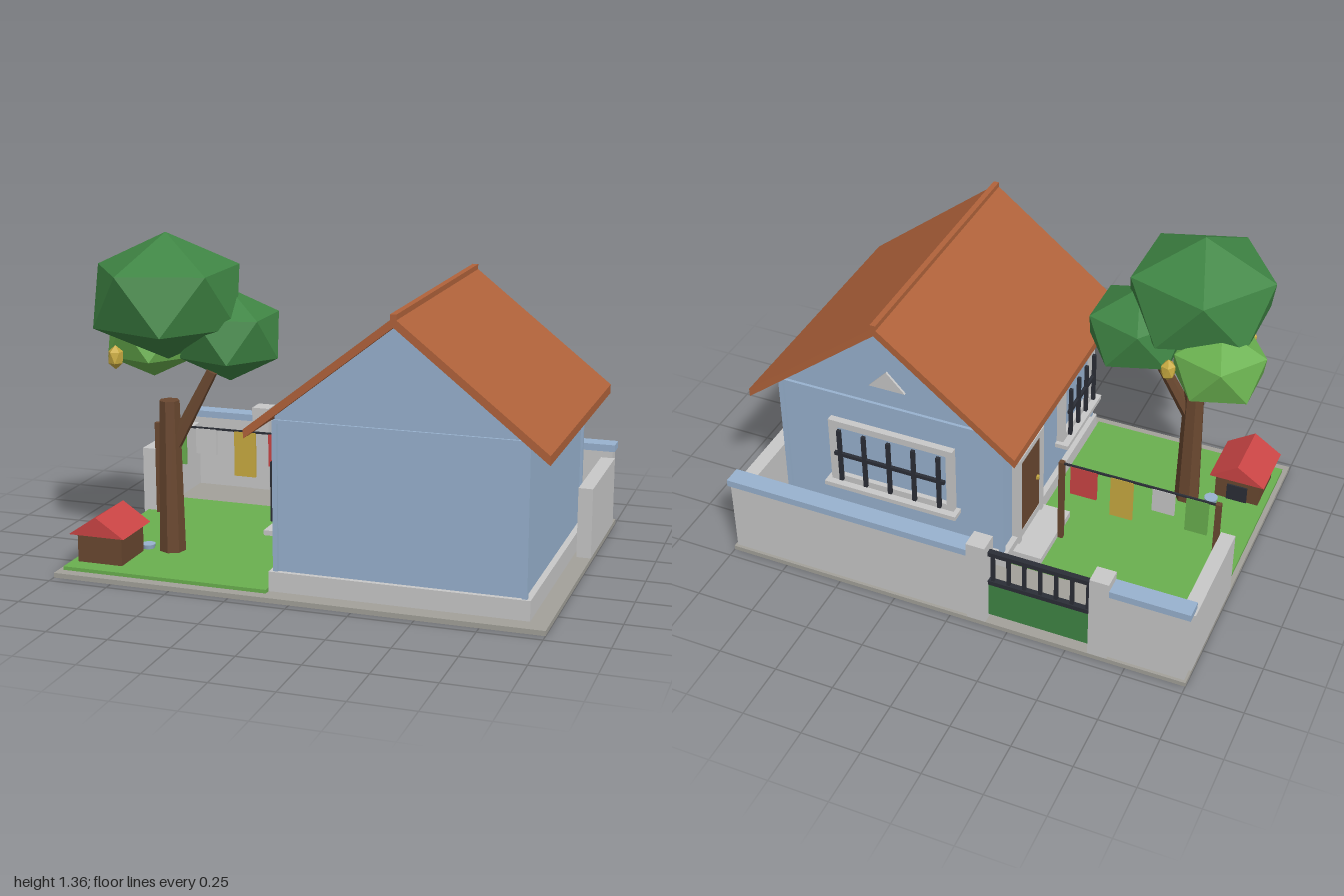
import * as THREE from 'three';

const mat = (name, color) => {
  const m = new THREE.MeshStandardMaterial({ color });
  m.name = name;
  return m;
};

export function createModel() {
  const concrete = mat('light concrete', 0xc8c8c8);
  const paving = mat('grey paving', 0xa3a19a);
  const blue = mat('pale blue paint', 0x98b2cf);
  const tile = mat('terracotta', 0xb1633b);
  const wood = mat('brown wood', 0x6a4830);
  const grass = mat('grass green', 0x6ab04f);
  const leaf = mat('dark green', 0x3f8544);
  const iron = mat('dark iron', 0x2b2e36);
  const gold = mat('golden yellow', 0xc9ab41);
  const red = mat('red', 0xcb4545);

  const model = new THREE.Group();
  model.name = 'houseWithYard';
  const group = (name) => {
    const g = new THREE.Group();
    g.name = name;
    model.add(g);
    return g;
  };
  const add = (parent, name, geo, material, x = 0, y = 0, z = 0) => {
    const m = new THREE.Mesh(geo, material);
    m.name = name;
    m.position.set(x, y, z);
    parent.add(m);
    return m;
  };
  // Box given by its extents on each axis
  const box = (parent, name, material, x0, x1, y0, y1, z0, z1) =>
    add(parent, name, new THREE.BoxGeometry(x1 - x0, y1 - y0, z1 - z0), material,
      (x0 + x1) / 2, (y0 + y1) / 2, (z0 + z1) / 2);
  // Outline in x and y, extruded from z0 to z1
  const prism = (parent, name, material, points, z0, z1) => {
    const shape = new THREE.Shape(points.map(([x, y]) => new THREE.Vector2(x, y)));
    const geo = new THREE.ExtrudeGeometry(shape, { depth: z1 - z0, bevelEnabled: false });
    return add(parent, name, geo, material, 0, 0, z0);
  };
  // Faceted blob standing on one corner
  const blob = (parent, name, material, r, ry, x, y, z, detail = 0) => {
    const geo = new THREE.IcosahedronGeometry(1, detail);
    geo.rotateX(-Math.atan((1 + Math.sqrt(5)) / 2));
    geo.rotateY(-Math.PI / 2);
    geo.scale(r, ry, r);
    geo.computeVertexNormals();
    return add(parent, name, geo, material, x, y, z);
  };

  // Ground
  const ground = group('ground');
  box(ground, 'baseSlab', paving, -1, 1, 0, 0.02, -0.71, 0.71);
  box(ground, 'lawn', grass, -0.98, -0.11, 0.02, 0.035, -0.36, 0.665);
  box(ground, 'patio', paving, -0.94, 0.94, 0.02, 0.025, -0.63, -0.36);
  box(ground, 'path', paving, -0.565, -0.37, 0.02, 0.031, -0.63, -0.36);

  // House body with plinth and trim
  const house = group('house');
  box(house, 'plinth', concrete, -0.11, 0.925, 0.02, 0.1, -0.39, 0.635);
  prism(house, 'walls', blue,
    [[-0.085, 0.1], [0.9, 0.1], [0.9, 0.72], [0.41, 1.11], [-0.085, 0.72]], -0.375, 0.615);
  for (const [x0, x1] of [[-0.095, -0.075], [0.89, 0.91]]) {
    for (const [z0, z1] of [[-0.388, -0.368], [0.605, 0.625]]) {
      box(house, 'cornerTrim', blue, x0, x1, 0.1, 0.7, z0, z1);
    }
  }
  for (const [z0, z1] of [[-0.388, -0.37], [0.61, 0.625]]) {
    box(house, 'gableBand', blue, -0.09, 0.905, 0.69, 0.705, z0, z1);
  }
  prism(house, 'gableVent', concrete, [[0.33, 0.79], [0.49, 0.79], [0.41, 0.875]], -0.385, -0.37);

  // Roof slopes and ridge
  const roof = group('roof');
  for (const s of [-1, 1]) {
    const slope = [[0, 1.145], [0.59, 0.68], [0.59, 0.643], [0, 1.108]];
    prism(roof, 'roofSlope', tile, slope.map(([x, y]) => [0.41 + s * x, y]), -0.47, 0.705);
  }
  box(roof, 'ridgeCap', tile, 0.398, 0.422, 1.115, 1.157, -0.47, 0.705);

  // Window centred on its own origin, facing local +z
  const makeWindow = (name, w, h, bars) => {
    const g = group(name);
    const a = w / 2, b = h / 2, t = 0.03;
    box(g, 'pane', blue, -a + t, a - t, -b + t, b - t, 0, 0.008);
    for (const s of [-1, 1]) {
      box(g, 'frameSide', concrete, s * (a - t / 2) - t / 2, s * (a - t / 2) + t / 2, -b, b, 0, 0.03);
      box(g, 'frameRail', concrete, -a + t, a - t, s * (b - t / 2) - t / 2, s * (b - t / 2) + t / 2, 0, 0.03);
    }
    box(g, 'sill', concrete, -a - 0.02, a + 0.02, -b - 0.02, -b, 0, 0.06);
    for (let i = 0; i < bars; i++) {
      const x = -a + (w * (i + 0.5)) / bars;
      box(g, 'grilleBar', iron, x - 0.008, x + 0.008, -b + 0.02, b - 0.03, 0.038, 0.053);
    }
    box(g, 'grilleRail', iron, -a + 0.03, a - 0.03, -0.008, 0.008, 0.036, 0.05);
    return g;
  };
  const backWindow = makeWindow('backWindow', 0.56, 0.31, 5);
  backWindow.position.set(0.4, 0.42, -0.375);
  backWindow.rotation.y = Math.PI;
  const sideWindow = makeWindow('sideWindow', 0.36, 0.29, 4);
  sideWindow.position.set(-0.085, 0.395, 0.39);
  sideWindow.rotation.y = -Math.PI / 2;

  // Side door with frame and step
  const door = group('door');
  box(door, 'doorPanel', wood, -0.108, -0.08, 0.065, 0.48, -0.25, -0.04);
  box(door, 'doorFrameBack', concrete, -0.118, -0.08, 0.065, 0.48, -0.275, -0.25);
  box(door, 'doorFrameFront', concrete, -0.118, -0.08, 0.065, 0.48, -0.04, -0.015);
  box(door, 'doorFrameTop', concrete, -0.118, -0.08, 0.48, 0.505, -0.275, -0.015);
  box(door, 'doorKnob', gold, -0.118, -0.108, 0.26, 0.275, -0.075, -0.06);
  box(door, 'doorStep', concrete, -0.235, -0.1, 0.02, 0.065, -0.325, 0);

  // Boundary walls and gate posts
  const fence = group('boundaryWall');
  for (const [x0, x1] of [[-1, -0.65], [-0.1, 1]]) {
    box(fence, 'backWall', concrete, x0 === -1 ? -0.99 : x0, x1 === 1 ? 0.99 : x1, 0.02, 0.345, -0.697, -0.637);
    box(fence, 'wallCoping', blue, x0, x1, 0.345, 0.375, -0.706, -0.627);
  }
  for (const s of [-1, 1]) {
    box(fence, 'sideWall', concrete, s * 0.97 - 0.03, s * 0.97 + 0.03, 0.02, 0.315, -0.64, -0.147);
  }
  for (const x of [-0.632, -0.115]) {
    box(fence, 'gatePost', concrete, x - 0.04, x + 0.04, 0.02, 0.41, -0.709, -0.625);
  }

  // Gate
  const gate = group('gate');
  box(gate, 'gatePanel', leaf, -0.592, -0.155, 0.035, 0.205, -0.675, -0.66);
  for (const y of [0.2, 0.35]) {
    box(gate, 'gateRail', iron, -0.595, -0.152, y, y + 0.02, -0.68, -0.656);
  }
  for (let i = 0; i < 7; i++) {
    const x = -0.575 + i * 0.067;
    box(gate, 'gateBar', iron, x - 0.007, x + 0.007, 0.22, 0.35, -0.675, -0.661);
  }

  // Tree
  const tree = group('tree');
  const flat = (g) => { const f = g.toNonIndexed(); f.computeVertexNormals(); return f; };
  add(tree, 'trunk', flat(new THREE.CylinderGeometry(0.042, 0.055, 0.64, 7)), wood, -0.65, 0.35, 0.33);
  const from = new THREE.Vector3(-0.635, 0.48, 0.325), to = new THREE.Vector3(-0.48, 0.79, 0.285);
  const branch = add(tree, 'branch', flat(new THREE.CylinderGeometry(0.023, 0.03, from.distanceTo(to), 6)), wood);
  branch.position.copy(from).lerp(to, 0.5);
  branch.quaternion.setFromUnitVectors(new THREE.Vector3(0, 1, 0), to.clone().sub(from).normalize());
  blob(tree, 'mainFoliage', leaf, 0.335, 0.257, -0.65, 1.098, 0.33);
  blob(tree, 'sideFoliage', leaf, 0.23, 0.19, -0.425, 0.935, 0.225);
  blob(tree, 'lightFoliage', grass, 0.213, 0.17, -0.79, 0.895, 0.165);
  blob(tree, 'fruit', gold, 0.034, 0.05, -0.835, 0.855, 0.43);
  blob(tree, 'fruit', gold, 0.034, 0.05, -0.6, 0.855, 0.1);

  // Kennel and water bowl
  const kennel = group('kennel');
  box(kennel, 'kennelBody', wood, -0.95, -0.757, 0.035, 0.157, 0.385, 0.59);
  prism(kennel, 'kennelRoof', red, [[-0.977, 0.155], [-0.735, 0.155], [-0.856, 0.235]], 0.36, 0.615);
  box(kennel, 'kennelOpening', iron, -0.9, -0.81, 0.036, 0.115, 0.378, 0.386);
  add(kennel, 'waterBowl', new THREE.CylinderGeometry(0.03, 0.026, 0.018, 12), blue, -0.755, 0.044, 0.34);

  // Clothesline
  const line = group('clothesline');
  for (const x of [-0.917, -0.245]) {
    box(line, 'linePost', wood, x - 0.011, x + 0.011, 0.03, 0.442, -0.141, -0.119);
  }
  box(line, 'line', iron, -0.917, -0.245, 0.43, 0.438, -0.134, -0.126);
  for (const [m, x0, x1, y0] of [[grass, -0.877, -0.783, 0.265], [concrete, -0.735, -0.64, 0.32],
    [gold, -0.557, -0.46, 0.235], [red, -0.4, -0.285, 0.29]]) {
    box(line, 'laundry', m, x0, x1, y0, 0.432, -0.136, -0.124);
  }

  // Potted shrubs behind the house
  for (const [x, m] of [[0.085, grass], [0.735, red]]) {
    const pot = group('pottedShrub');
    add(pot, 'pot', flat(new THREE.CylinderGeometry(0.045, 0.033, 0.08, 8)), tile, x, 0.064, -0.53);
    blob(pot, 'shrub', m, 0.063, 0.063, x, 0.145, -0.53, 1);
  }
  return model;
}
